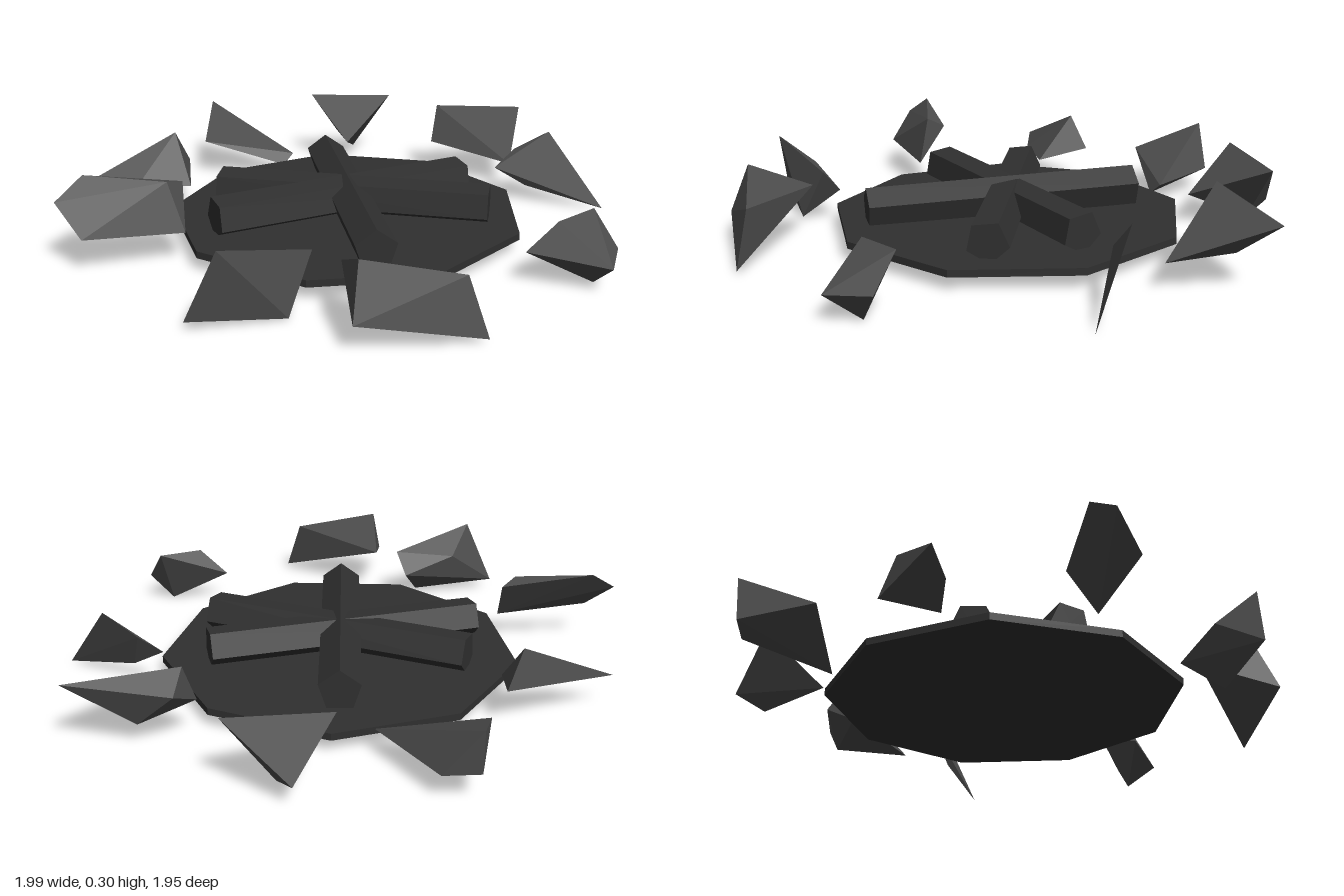
import * as THREE from 'three';
import { ConvexGeometry } from 'three/addons/geometries/ConvexGeometry.js';

export function createModel() {
  const group = new THREE.Group();
  group.name = 'campfire';
  const charcoal = new THREE.MeshStandardMaterial({ color: 0x303030 });
  charcoal.name = 'charcoal';
  const stoneGrey = new THREE.MeshStandardMaterial({ color: 0x4c4c4c });
  stoneGrey.name = 'stone grey';

  const add = (name, geometry, material) => {
    const mesh = new THREE.Mesh(geometry, material);
    mesh.name = name;
    group.add(mesh);
  };
  const faceted = (geometry) => {
    const g = geometry.toNonIndexed();
    g.computeVertexNormals();
    return g;
  };

  // Nine-sided ash bed
  const bed = new THREE.CylinderGeometry(0.64, 0.64, 0.025, 9);
  bed.rotateY(Math.PI + 0.03);
  bed.translate(0.005, 0.0625, -0.015);
  add('ashBed', faceted(bed), charcoal);

  // Three five-sided logs crossing at the centre: yaw, roll, pitch, x, z
  const addLog = (name, yaw, roll, pitch, x, z) => {
    const g = new THREE.CylinderGeometry(0.075, 0.075, 0.99, 5);
    g.rotateY(roll);
    g.rotateX(-Math.PI / 2 + pitch);
    g.rotateY(yaw);
    g.translate(x, 0.13, z);
    add(name, faceted(g), charcoal);
  };
  addLog('logFrontToBack', 0.07, 0, 0.015, 0.005, 0.005);
  addLog('logLeftFront', 1.257, Math.PI / 5 - 0.12, 0, 0.02, -0.005);
  addLog('logLeftBack', 1.92, Math.PI / 5 - 0.12, 0, -0.01, -0.005);

  // Ring of jagged stones, each the hull of a few corners
  const addStone = (name, corners) =>
    add(name, new ConvexGeometry(corners.map((c) => new THREE.Vector3(...c))), stoneGrey);

  addStone('stoneFront', [
    [-0.095, 0.18, 0.68], [-0.07, 0.275, 0.9], [-0.095, 0.1, 0.97],
    [0.31, 0.02, 0.94], [0.25, 0.21, 0.9],
  ]);
  addStone('stoneFrontRight', [
    [-0.575, 0.04, 0.77], [-0.47, 0.275, 0.795], [-0.26, 0.01, 0.72],
    [-0.18, 0.2, 0.64], [-0.22, 0.12, 0.58], [-0.41, 0.18, 0.66],
  ]);
  addStone('stoneRightFront', [
    [-1, 0.235, 0.235], [-0.91, 0.305, 0.17], [-0.58, 0.26, 0.14],
    [-0.575, 0.11, 0.24], [-0.91, 0.13, 0.32], [-0.63, 0.28, 0.2],
  ]);
  addStone('stoneRightBack', [
    [-0.93, 0.13, -0.29], [-0.62, 0.27, -0.4], [-0.57, 0.14, -0.455],
    [-0.565, 0.1, -0.255], [-0.765, 0.11, -0.245],
  ]);
  addStone('stoneBackRight', [
    [-0.475, 0.25, -0.91], [-0.51, 0.15, -0.65], [-0.15, 0.09, -0.64],
    [-0.19, 0.05, -0.615], [-0.355, 0.09, -0.9], [-0.475, 0.1, -0.9],
  ]);
  addStone('stoneBack', [
    [0.07, 0.08, -0.98], [-0.05, 0.275, -0.875], [0.29, 0.255, -0.9],
    [0.08, 0.12, -0.67], [0.13, 0.04, -0.88],
  ]);
  addStone('stoneBackLeft', [
    [0.45, 0.28, -0.63], [0.47, 0.2, -0.69], [0.82, 0.24, -0.705],
    [0.7, 0.1, -0.375], [0.42, 0.14, -0.58], [0.6, 0.08, -0.65],
  ]);
  addStone('stoneLeft', [
    [0.605, 0.135, -0.235], [0.685, 0.2, -0.26], [0.81, 0.275, -0.23],
    [0.99, 0.01, -0.075], [0.72, 0.07, -0.2],
  ]);
  addStone('stoneFrontLeft', [
    [0.515, 0.12, 0.555], [0.62, 0.22, 0.55], [0.765, 0.225, 0.46],
    [0.83, 0.11, 0.535], [0.765, 0.1, 0.68], [0.745, 0.005, 0.56],
  ]);

  return group;
}
